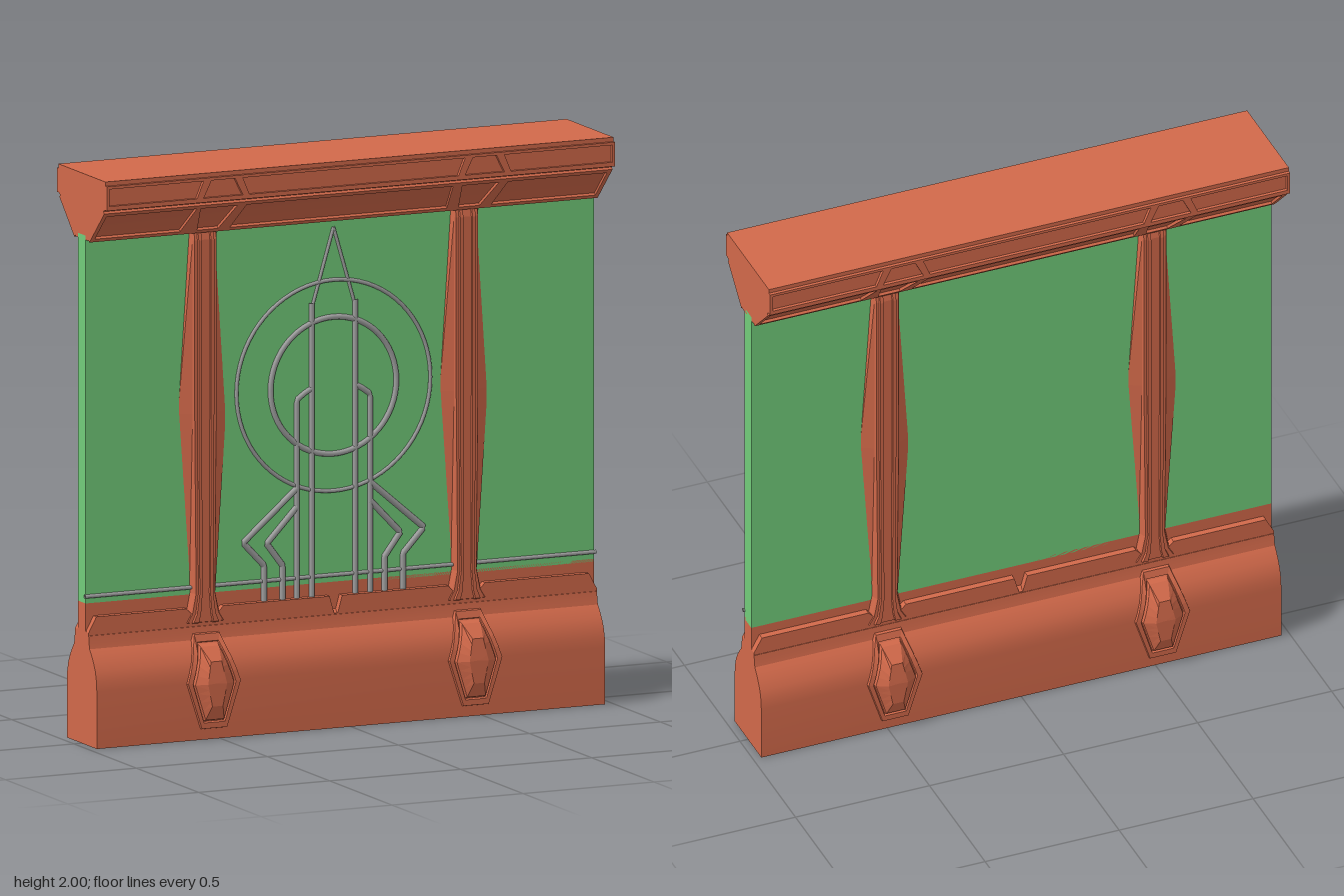
import * as THREE from 'three';
import { toCreasedNormals } from 'three/addons/utils/BufferGeometryUtils.js';

const paint = (color) => new THREE.MeshStandardMaterial({ color, side: THREE.DoubleSide });
const clay = paint(0xd2694a), green = paint(0x72cc7a), metal = paint(0xa0a0a0);
const W = 0.97; // half length of the wall
const MID = -0.026; // centre line of the ornament
const PILLARS = [-0.525, 0.473];

function add(group, name, geometry, material = clay) {
  const mesh = new THREE.Mesh(geometry, material);
  mesh.name = name;
  group.add(mesh);
  return mesh;
}

const polygon = (pts) => new THREE.Shape(pts.map(([x, y]) => new THREE.Vector2(x, y)));

function plate(pts, depth, holes = []) {
  const shape = polygon(pts);
  shape.holes = holes.map(polygon);
  return new THREE.ExtrudeGeometry(shape, { depth, bevelEnabled: false });
}

// Half profile [z, y] mirrored and swept along x
function sweep(half) {
  const pts = [...half, ...half.slice().reverse().map(([z, y]) => [-z, y])];
  const g = plate(pts, 2 * W).translate(0, 0, -W).rotateY(Math.PI / 2);
  return toCreasedNormals(g, 0.5);
}

// Flat-shaded skin over rows of points
function skin(rows, closed) {
  const pos = [];
  for (let i = 0; i < rows.length - 1; i++) {
    const n = rows[i].length;
    for (let j = 0; j < (closed ? n : n - 1); j++) {
      const k = (j + 1) % n;
      const a = rows[i][j], b = rows[i][k], c = rows[i + 1][k], d = rows[i + 1][j];
      pos.push(...a, ...b, ...c, ...a, ...c, ...d);
    }
  }
  const g = new THREE.BufferGeometry();
  g.setAttribute('position', new THREE.Float32BufferAttribute(pos, 3));
  g.computeVertexNormals();
  return g;
}

const BASE = [[0.12, 0], [0.12, 0.2], [0.117, 0.235], [0.108, 0.27], [0.092, 0.3], [0.075, 0.325],
  [0.062, 0.34], [0.058, 0.36], [0.055, 0.385], [0.03, 0.4], [0.03, 0.495]];

function baseZ(y) {
  const i = Math.max(1, BASE.findIndex((p) => p[1] >= y));
  const [z0, y0] = BASE[i - 1], [z1, y1] = BASE[i];
  return z0 + (z1 - z0) * (y - y0) / (y1 - y0);
}

// Pillar face: stepped strip with side fins that are widest at mid height
function pillarGeometry() {
  const rows = [[0.385, 0.08, 0.075, 0.4], [0.4, 0.08, 0.075, 1], [0.43, 0.062, 0.055, 1],
    [0.5, 0.048, 0.04, 1], [1.13, 0.092, 0.046, 1], [1.74, 0.052, 0.046, 1], [1.78, 0.05, 0.046, 0.85]];
  return skin(rows.map(([y, fin, core, s]) => {
    const half = [[fin, 0.028], [core, 0.05], [core * 0.9, 0.057], [core * 0.68, 0.057],
      [core * 0.64, 0.065], [core * 0.38, 0.065], [core * 0.34, 0.058]];
    return [...half.map(([x, z]) => [-x, y, z * s]), ...half.reverse().map(([x, z]) => [x, y, z * s])];
  }), false);
}

// Six-sided medallion: frame hugging the base, groove, then a faceted boss
function medallionGeometry() {
  const ring = (hw, tw, y0, y1, depth) => {
    const ym = (y0 + y1) / 2;
    const corners = [[tw, y0], [hw, ym], [tw, y1], [-tw, y1], [-hw, ym], [-tw, y0]];
    return corners.flatMap(([x, y], i) => {
      const [u, v] = corners[(i + 1) % 6];
      return [0, 1, 2, 3].map((k) => {
        const py = y + (v - y) * k / 4;
        return [x + (u - x) * k / 4, py, depth(py)];
      });
    });
  };
  const hug = (off) => (y) => baseZ(y) + off;
  return skin([
    ring(0.104, 0.05, 0.035, 0.365, hug(-0.01)),
    ring(0.1, 0.048, 0.04, 0.36, hug(0.01)),
    ring(0.082, 0.04, 0.06, 0.335, hug(0.01)),
    ring(0.078, 0.038, 0.065, 0.33, hug(-0.004)),
    ring(0.074, 0.035, 0.07, 0.32, hug(0.012)),
    ring(0.036, 0.02, 0.12, 0.275, (y) => (y > 0.2 ? 0.155 - (y - 0.2) * 0.15 : 0.155)),
    ring(0, 0, 0.2, 0.2, () => 0.155),
  ], true);
}

// Everything that repeats on both faces of the wall
function buildSide(name, xs, mid) {
  const side = new THREE.Group();
  side.name = name;
  const [l, r] = xs;

  // Notched trim along the top of the base
  const notch = (x, w, d) => [[x - w, 0.45], [x - w * 0.3, 0.45 - d], [x + w * 0.3, 0.45 - d], [x + w, 0.45]];
  add(side, 'baseTrim', plate([[-W, 0.36], [-W, 0.395], [-W + 0.03, 0.45], ...notch(l, 0.07, 0.05),
    ...notch(mid, 0.024, 0.06), ...notch(r, 0.07, 0.05), [W - 0.03, 0.45], [W, 0.395], [W, 0.36]], 0.054));

  // Upright cornice frame with slanted panels and bracket windows
  const lo = 1.915, hi = 1.975;
  const panel = (x0, s0, x1, s1, y0, y1) => [[x0, y0], [x1, y0], [x1 + s1, y1], [x0 + s0, y1]];
  const upper = [
    panel(-W + 0.01, 0, l - 0.1, 0.025, lo, hi), panel(l + 0.1, -0.025, r - 0.1, 0.025, lo, hi),
    panel(r + 0.1, -0.025, W - 0.01, 0, lo, hi),
    ...xs.map((x) => panel(x - 0.075, 0.03, x + 0.075, -0.03, lo, hi)),
  ];
  add(side, 'corniceUpperFrame', plate(panel(-W, 0, W, 0, 1.9, 1.985), 0.014, upper)).position.z = 0.186;

  // Sloping cornice frame below it
  const a = 0.022, b = 0.155;
  const lower = [
    panel(-W + 0.015, 0, l - 0.105, 0.02, a, b).map((p) => p),
    panel(l + 0.085, 0.02, r - 0.085, -0.02, a, b),
    panel(r + 0.085, 0.02, W - 0.015, 0, a, b),
    ...xs.map((x) => panel(x - 0.04, -0.03, x + 0.04, 0.03, a, b)),
  ];
  const slope = add(side, 'corniceLowerFrame', plate(panel(-W, 0, W, 0, 0.004, 0.174), 0.01, lower));
  slope.position.set(0, 1.77, 0.05);
  slope.rotation.x = Math.PI / 4;

  for (const x of xs) {
    add(side, 'pillar', pillarGeometry()).position.x = x;
    add(side, 'medallion', medallionGeometry()).position.x = x;
  }
  return side;
}

// Metal pipe through straight segments
function pipe(group, name, pts, radius) {
  const path = new THREE.CurvePath();
  const v = pts.map(([x, y]) => new THREE.Vector3(x, y, 0));
  for (let i = 1; i < v.length; i++) path.add(new THREE.LineCurve3(v[i - 1], v[i]));
  return add(group, name, new THREE.TubeGeometry(path, (v.length - 1) * 16, radius, 8), metal);
}

function buildOrnament() {
  const g = new THREE.Group();
  g.name = 'ornament';
  g.position.set(MID, 0, 0.034);
  add(g, 'outerRing', new THREE.TorusGeometry(0.37, 0.007, 8, 72), metal).position.y = 1.185;
  add(g, 'innerRing', new THREE.TorusGeometry(0.24, 0.01, 8, 64), metal).position.y = 1.185;
  for (const s of [-1, 1]) {
    const m = (pts) => pts.map(([x, y]) => [x * s, y]);
    pipe(g, 'spire', m([[0, 1.74], [0.083, 1.46]]), 0.006);
    pipe(g, 'innerPipe', m([[0.083, 1.48], [0.083, 0.45]]), 0.01);
    pipe(g, 'middlePipe', m([[0.083, 1.18], [0.105, 1.17], [0.14, 1.145], [0.14, 0.45]]), 0.01);
    pipe(g, 'outerPipe', m([[0.14, 0.835], [0.345, 0.66], [0.265, 0.575], [0.265, 0.45]]), 0.011);
    pipe(g, 'bentPipe', m([[0.14, 0.77], [0.255, 0.65], [0.195, 0.57], [0.195, 0.45]]), 0.011);
  }
  return g;
}

export function createModel() {
  const model = new THREE.Group();
  model.name = 'wallPanel';

  add(model, 'base', sweep(BASE));
  add(model, 'glass', new THREE.BoxGeometry(2 * W, 1.3, 0.06).translate(0, 1.135, 0), green);
  add(model, 'cornice', sweep([[0.05, 1.77], [0.176, 1.896], [0.188, 1.9], [0.188, 2]]));

  model.add(buildSide('frontFace', PILLARS, MID));
  const back = buildSide('backFace', PILLARS.map((x) => -x).reverse(), -MID);
  back.rotation.y = Math.PI;
  model.add(back);

  // Front-only metalwork
  model.add(buildOrnament());
  pipe(model, 'rail', [[-0.975, 0.52], [0.975, 0.52]], 0.007).position.z = 0.034;
  return model;
}
